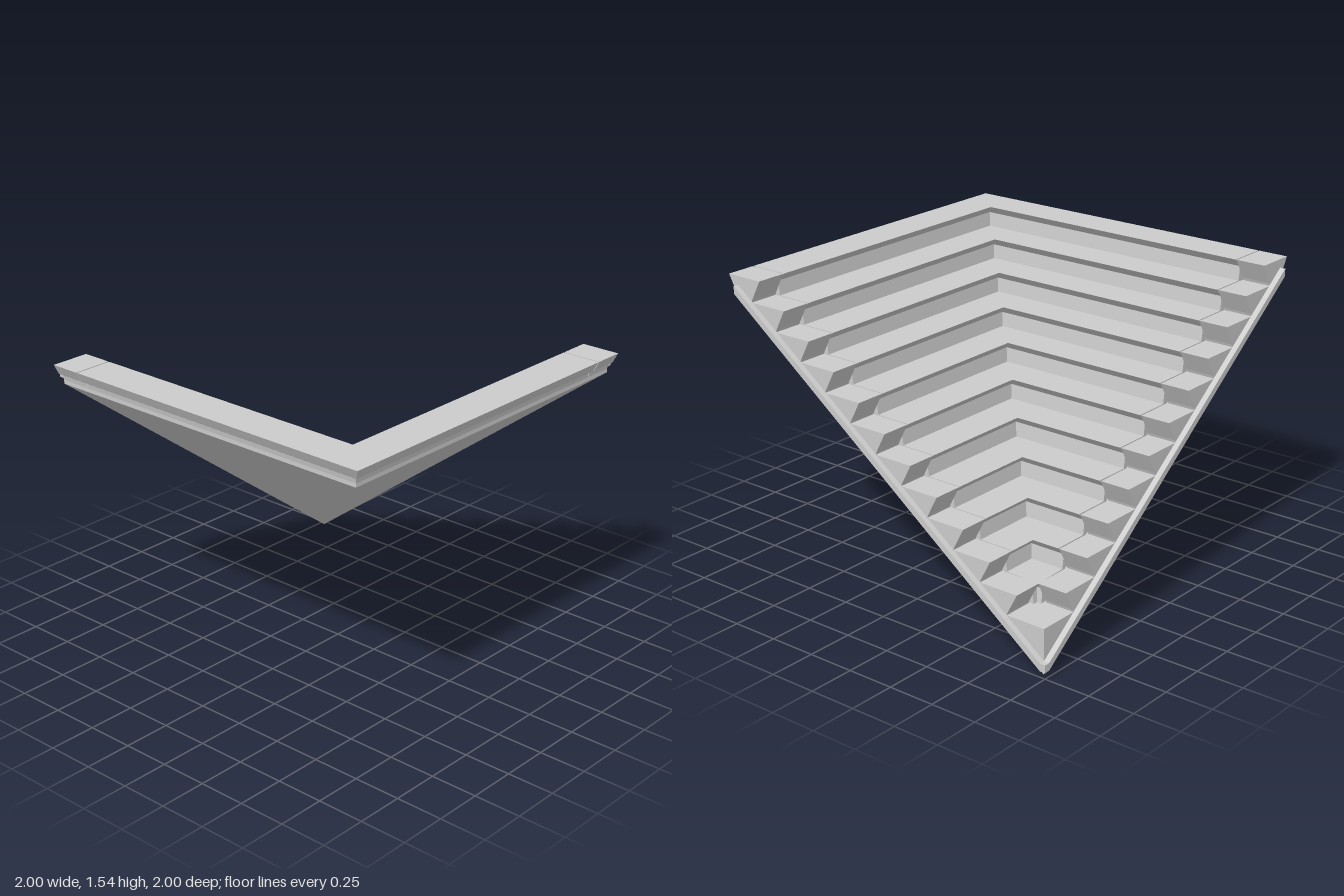
import * as THREE from 'three';

const RISE = 0.119, RUN = 0.16, STEPS = 11, TOP = 1.545, NOSE = 0.79, END = 0.97;
const under = s => 1.43 + (s - 0.94) * 0.748; // height of the sloping underside

// Sawtooth outline (run, height); riser gives offsets from nosing down to foot
function stepProfile(riser) {
  const pts = [];
  for (let k = STEPS - 1; k >= 0; k--) {
    const n = NOSE - k * RUN, t = TOP - k * RISE;
    for (const [ds, dy] of [...riser].reverse()) pts.push([n + ds, t - dy]);
    pts.push([n, t]);
  }
  pts.push([1, TOP], [0.97, 1.49], [0.945, 1.475], [0.94, 1.45]);
  pts.push([-0.75, under(-0.75) + 0.03]);
  return pts;
}

// Sweep a profile sideways from w0 (or the diagonal mitre when null) to w1
function sweep(points, w0, w1, mirrored) {
  const shape = new THREE.Shape(points.map(p => new THREE.Vector2(...p)));
  const geo = new THREE.ExtrudeGeometry(shape, { depth: 1, bevelEnabled: false });
  const p = geo.attributes.position;
  for (let i = 0; i < p.count; i++) {
    const s = p.getX(i), y = p.getY(i);
    const w = p.getZ(i) > 0.5 ? w1 : (w0 === null ? -s : w0);
    if (mirrored) p.setXYZ(i, -s, y, -w);
    else p.setXYZ(i, w, y, s);
  }
  // the unmirrored mapping turns faces inside out, so swap two corners of each
  if (!mirrored) {
    const a = new THREE.Vector3(), b = new THREE.Vector3();
    for (let i = 0; i < p.count; i += 3) {
      a.fromBufferAttribute(p, i + 1);
      b.fromBufferAttribute(p, i + 2);
      p.setXYZ(i + 1, b.x, b.y, b.z);
      p.setXYZ(i + 2, a.x, a.y, a.z);
    }
  }
  geo.deleteAttribute('uv');
  geo.computeVertexNormals();
  return geo;
}

export function createModel() {
  const model = new THREE.Group();
  model.name = 'cornerStairs';
  const material = new THREE.MeshStandardMaterial({ color: 0xcccccc, flatShading: true });

  const treads = stepProfile([[0.045, 0.045], [0.035, RISE]]);
  const endBlocks = stepProfile([[0.055, 0.105], [0.06, RISE]]);
  const slab = [
    [-0.97, under(-0.97)], [0.94, under(0.94)], [0.94, 1.48],
    [-0.75, 0.236], [-0.97, 0.236],
  ];
  const trim = [
    [-1, under(-0.97) + 0.03], [-0.97, under(-0.97) + 0.03], [0.94, under(0.94) + 0.03],
    [0.94, under(0.94) + 0.07], [-0.97, under(-0.97) + 0.07], [-1, under(-0.97) + 0.07],
  ];

  // Two flights meeting along the diagonal valley
  for (const mirrored of [false, true]) {
    const flight = new THREE.Group();
    flight.name = mirrored ? 'rightFlight' : 'frontFlight';
    const add = (name, points, w0, w1) => {
      const mesh = new THREE.Mesh(sweep(points, w0, w1, mirrored), material);
      mesh.name = name;
      flight.add(mesh);
    };
    add('baseSlab', slab, null, END);
    add('treads', treads, null, 0.8);
    add('endBlocks', endBlocks, 0.808, END);
    add('edgeTrim', trim, END, 1);
    model.add(flight);
  }
  return model;
}
